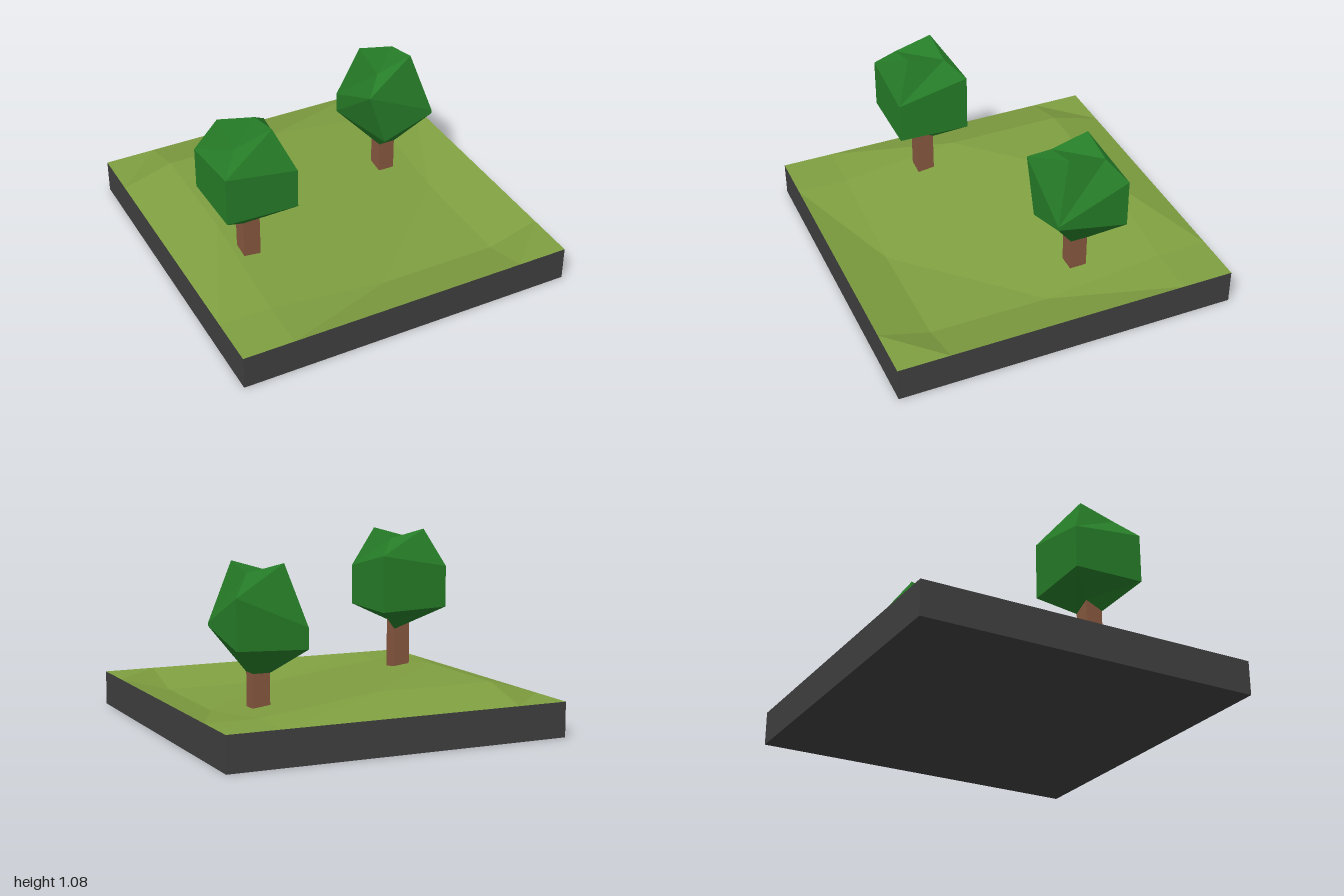
import * as THREE from 'three';

const paint = (name, color) => {
  const m = new THREE.MeshStandardMaterial({ color, flatShading: true });
  m.name = name;
  return m;
};

// Flat-shaded geometry from a list of triangles
function facets(tris) {
  const g = new THREE.BufferGeometry();
  g.setAttribute('position', new THREE.Float32BufferAttribute(tris.flat(2), 3));
  g.computeVertexNormals();
  return g;
}

// Quad a, b, c, d folded along whichever diagonal bulges outward from the axis
function bulgingQuad(a, b, c, d) {
  const reach = (p, q) => Math.hypot(p[0] + q[0], p[2] + q[2]);
  return reach(a, c) >= reach(b, d)
    ? [[a, b, c], [a, c, d]]
    : [[a, b, d], [b, c, d]];
}

// Crown: four square rings, corners ordered front right-hand round from (-x, +z)
const corners = [[-1, 1], [1, 1], [1, -1], [-1, -1]];
const halfWidths = [0.051, 0.21, 0.21, 0.11];

function crownGeometry(heights, nudge = {}) {
  const rings = heights.map((ring, r) => ring.map((y, i) => {
    const dx = r === 1 && i === 0 && nudge.lowerX ? nudge.lowerX : 0;
    return [corners[i][0] * halfWidths[r] + dx, y, corners[i][1] * halfWidths[r]];
  }));
  const tris = [];
  for (let r = 0; r < 3; r++) {
    for (let i = 0; i < 4; i++) {
      const j = (i + 1) % 4;
      tris.push(...bulgingQuad(rings[r][i], rings[r][j], rings[r + 1][j], rings[r + 1][i]));
    }
  }
  const [t0, t1, t2, t3] = rings[3];
  const [b0, b1, b2, b3] = rings[0];
  tris.push([t0, t1, t2], [t0, t2, t3], [b0, b2, b1], [b0, b3, b2]);
  return facets(tris);
}

function part(name, geometry, material) {
  const mesh = new THREE.Mesh(geometry, material);
  mesh.name = name;
  return mesh;
}

export function createModel() {
  const grass = paint('grass green', 0x7f9f40);
  const stone = paint('dark grey', 0x404040);
  const bark = paint('bark brown', 0x87583f);
  const leaves = paint('leaf green', 0x267d28);
  const model = new THREE.Group();
  model.name = 'grassTile';

  // Slab, open on top where the ground covers it
  const slab = new THREE.BoxGeometry(2, 0.2, 2);
  const index = Array.from(slab.index.array);
  index.splice(12, 6);
  slab.setIndex(index);
  slab.clearGroups();
  slab.translate(0, 0.1, 0);
  model.add(part('slab', slab, stone));

  // Ground: rises at the back right, dips at the front left
  const lines = [-1, -0.7, 0, 0.7, 1];
  const vertex = (ix, iz) => {
    const inside = ix > 0 && ix < 4 && iz > 0 && iz < 4;
    const rise = inside ? 0.085 * Math.sign(4 - ix - iz) : 0;
    return [lines[ix], 0.2 + rise, lines[iz]];
  };
  const ground = [];
  for (let iz = 0; iz < 4; iz++) {
    for (let ix = 0; ix < 4; ix++) {
      const a = vertex(ix, iz), b = vertex(ix, iz + 1);
      const c = vertex(ix + 1, iz + 1), d = vertex(ix + 1, iz);
      ground.push([a, b, d], [b, c, d]);
    }
  }
  model.add(part('ground', facets(ground), grass));

  // Trees: ring heights run from the bottom of the crown to its top
  const trees = [
    {
      name: 'rightTree', x: -0.61, z: 0.23, foot: 0.2,
      heights: [[0.475, 0.53, 0.475, 0.52], [0.625, 0.61, 0.6, 0.615],
        [0.91, 0.845, 0.935, 0.86], [1.02, 1.08, 1.03, 1.08]],
    },
    {
      name: 'leftTree', x: 0.515, z: -0.255, foot: 0.165, nudge: { lowerX: 0.105 },
      heights: [[0.36, 0.36, 0.36, 0.36], [0.49, 0.6, 0.515, 0.5],
        [0.82, 0.62, 0.8, 0.62], [0.905, 0.97, 0.92, 0.965]],
    },
  ];
  for (const t of trees) {
    const tree = new THREE.Group();
    tree.name = t.name;
    tree.position.set(t.x, 0, t.z);
    const top = t.heights[0][1] + 0.02;
    const trunk = new THREE.BoxGeometry(0.1, top - t.foot, 0.1);
    trunk.translate(0, (top + t.foot) / 2, 0);
    tree.add(part('trunk', trunk, bark));
    tree.add(part('crown', crownGeometry(t.heights, t.nudge), leaves));
    model.add(tree);
  }
  return model;
}
